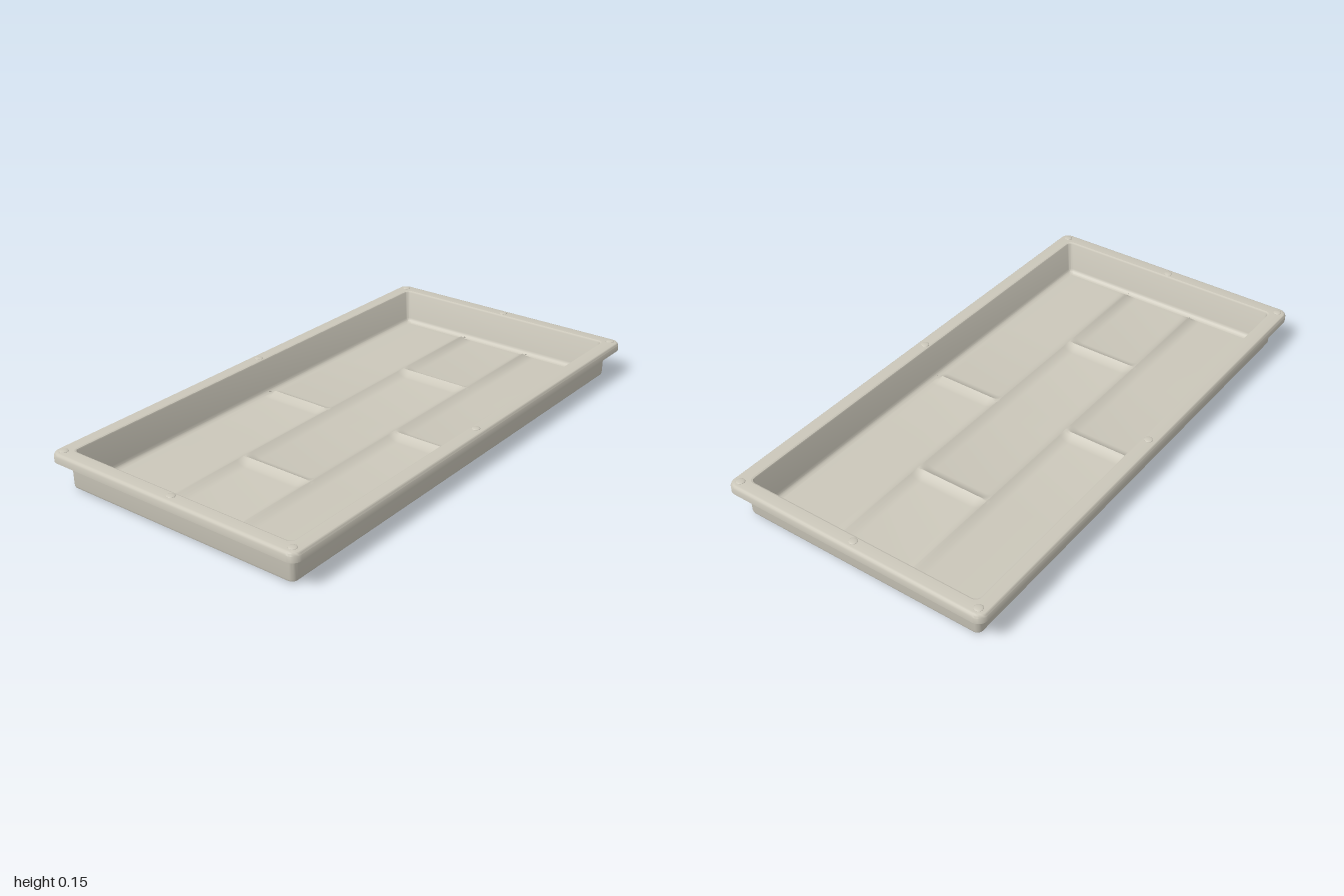
import * as THREE from 'three';
import { toCreasedNormals, mergeVertices } from 'three/addons/utils/BufferGeometryUtils.js';

const HALF_X = 1, HALF_Z = 0.527;

// Rounded rectangle ring, inset from the outer rim
function ring(inset, y, radius) {
  const points = [], n = 6;
  for (let corner = 0; corner < 4; corner++) {
    const sx = corner === 0 || corner === 3 ? 1 : -1;
    const sz = corner < 2 ? -1 : 1;
    for (let k = 0; k <= n; k++) {
      const a = (corner + k / n) * Math.PI / 2;
      points.push([
        sx * (HALF_X - inset - radius) + radius * Math.cos(a), y,
        sz * (HALF_Z - inset - radius) - radius * Math.sin(a),
      ]);
    }
  }
  return points;
}

// Sweep a profile of [inset, y, corner radius] around the tray
function sweep(profile) {
  const rings = profile.map(p => ring(...p));
  const count = rings[0].length, index = [];
  for (let i = 0; i < rings.length - 1; i++) {
    for (let j = 0; j < count; j++) {
      const k = (j + 1) % count;
      const a = i * count + j, b = a + count, c = (i + 1) * count + k, d = i * count + k;
      index.push(a, b, c, a, c, d);
    }
  }
  const geometry = new THREE.BufferGeometry();
  geometry.setAttribute('position', new THREE.Float32BufferAttribute(rings.flat(2), 3));
  geometry.setIndex(index);
  return toCreasedNormals(geometry, 0.65);
}

// Staggered ridge pattern: two long ribs with cross ribs between them
const RIB = 0.042;
const rib = d => Math.max(0, 1 - Math.abs(d) / RIB) ** 1.7;
function ribHeight(x, z, halfX, halfZ) {
  const long = rib(Math.abs(z) - 0.15);
  const cross = Math.abs(z) > 0.15 ? rib(x) : rib(Math.abs(x) - 0.47);
  const edge = Math.min(halfX - Math.abs(x), halfZ - Math.abs(z));
  return 0.018 * (1 - (1 - long) * (1 - cross)) * THREE.MathUtils.smoothstep(edge, 0, 0.025);
}

// Grid lines gathered around the ribs
function gridLines(centres, half) {
  const lines = [-half, -half + 0.012, -half + 0.025, half - 0.025, half - 0.012, half];
  for (const c of centres) {
    for (const t of [-1, -0.75, -0.5, -0.25, -0.1, 0, 0.1, 0.25, 0.5, 0.75, 1]) lines.push(c + t * RIB);
  }
  return lines.sort((a, b) => a - b);
}

function floorPanel(inset, y, facingUp) {
  const halfX = HALF_X - inset, halfZ = HALF_Z - inset;
  const xs = gridLines([-0.47, 0, 0.47], halfX), zs = gridLines([-0.15, 0.15], halfZ);
  const geometry = new THREE.PlaneGeometry(1, 1, xs.length - 1, zs.length - 1);
  const position = geometry.attributes.position;
  for (let i = 0; i < position.count; i++) {
    const x = xs[i % xs.length] * (facingUp ? 1 : -1);
    const z = zs[Math.floor(i / xs.length)];
    position.setXYZ(i, x, y + ribHeight(x, z, halfX, halfZ), z);
  }
  geometry.deleteAttribute('normal');
  geometry.deleteAttribute('uv');
  return toCreasedNormals(mergeVertices(geometry), 0.7);
}

export function createModel() {
  const group = new THREE.Group();
  const plastic = new THREE.MeshStandardMaterial({ color: 0xcbc7ba });
  plastic.name = 'warm grey plastic';
  const add = (geometry, name) => {
    const mesh = new THREE.Mesh(geometry, plastic);
    mesh.name = name;
    group.add(mesh);
    return mesh;
  };

  // Inner wall
  add(sweep([
    [0.09, 0.01, 0.012], [0.08, 0.012, 0.014], [0.074, 0.018, 0.016],
    [0.071, 0.028, 0.018], [0.058, 0.137, 0.02], [0.056, 0.141, 0.022], [0.051, 0.143, 0.024],
  ]), 'innerWall');

  // Flat rim with a rounded outer edge and a hollow skirt
  add(sweep([
    [0.051, 0.143, 0.024], [0.013, 0.143, 0.025], [0.007, 0.1415, 0.029], [0.003, 0.138, 0.032],
    [0, 0.131, 0.034], [0, 0.109, 0.034], [0.008, 0.109, 0.028],
    [0.008, 0.132, 0.028], [0.042, 0.132, 0.024],
  ]), 'rim');

  // Outer wall with a rounded foot
  add(sweep([
    [0.042, 0.132, 0.024], [0.044, 0.016, 0.022], [0.046, 0.009, 0.02],
    [0.051, 0.005, 0.018], [0.057, 0.004, 0.014], [0.062, 0, 0.01],
  ]), 'outerWall');

  // Ribbed floor, inside and underneath
  add(floorPanel(0.088, 0.01, true), 'floorTop');
  add(floorPanel(0.061, 0, false), 'floorUnderside');

  // Small stacking studs on the rim
  const stud = new THREE.SphereGeometry(0.016, 16, 6, 0, Math.PI * 2, 0, Math.PI / 2);
  stud.scale(1, 0.25, 1);
  for (const sx of [-1, 0, 1]) {
    for (const sz of [-1, 0, 1]) {
      if (sx || sz) add(stud, 'rimStud').position.set(sx * 0.966, 0.143, sz * 0.493);
    }
  }
  return group;
}
